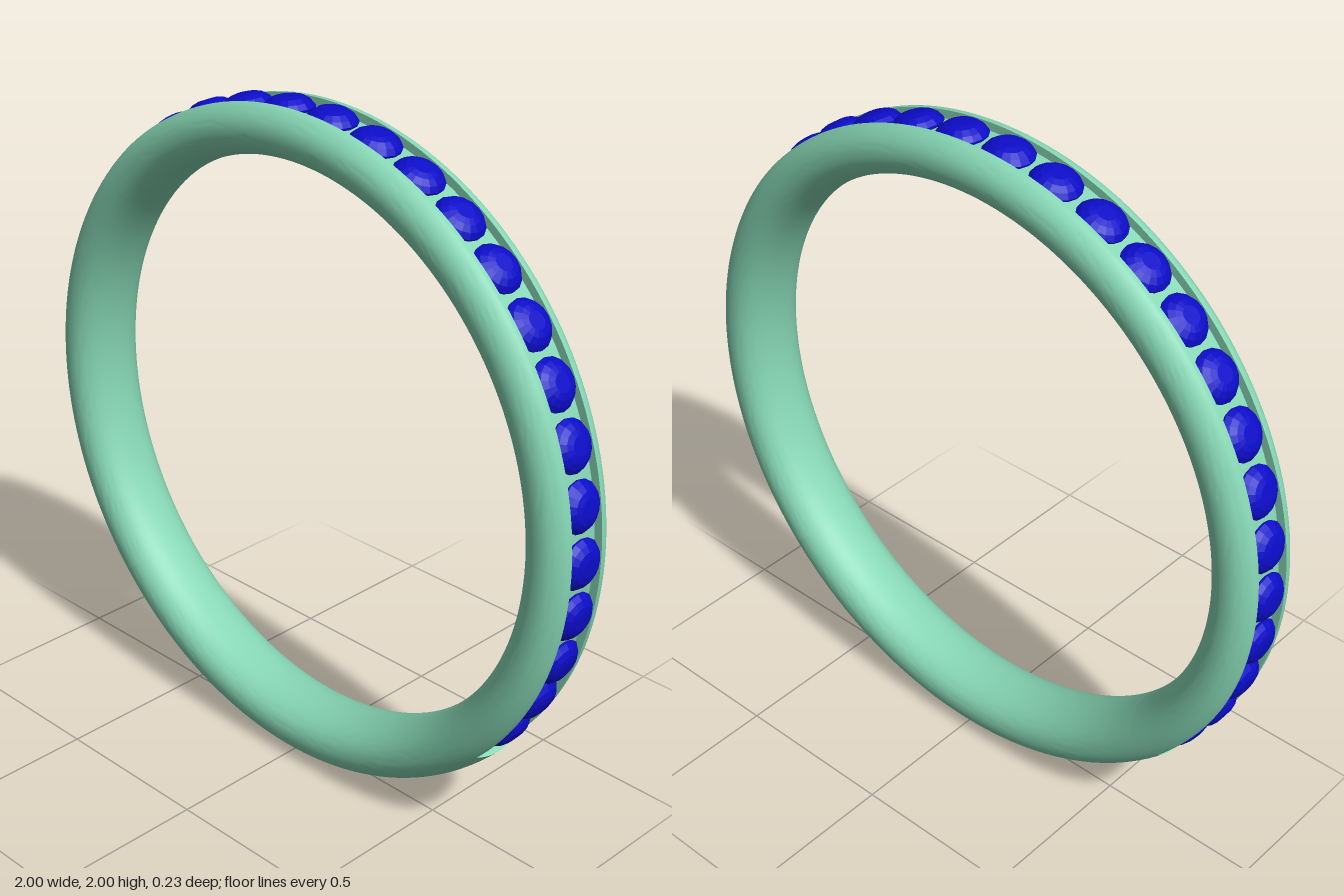
import * as THREE from 'three';
import { toCreasedNormals } from 'three/addons/utils/BufferGeometryUtils.js';

const CENTER_Y = 1.002, MID = 0.9185, HALF_R = 0.0835, HALF_W = 0.117;
const CHANNEL = 0.06, FLOOR = 0.962, RAIL_TOP = 0.986;
const END = THREE.MathUtils.degToRad(47);   // channel end, measured from the bottom
const GEMS_PER_SIDE = 14, STEP = 2 * Math.PI / 38;

// Rounded oval cross-section: x = distance from the ring axis, y = across the band
function bandSection(n = 64) {
  const pow = (v) => Math.sign(v) * Math.abs(v) ** (2 / 2.2);
  const pts = [];
  for (let i = 0; i <= n; i++) {
    const t = 2 * Math.PI * (i % n) / n;
    pts.push(new THREE.Vector2(MID + HALF_R * pow(Math.cos(t)), HALF_W * pow(Math.sin(t))));
  }
  return pts;
}

// Same section with a square channel cut in the outer face
function channelSection() {
  const rails = bandSection()
    .filter((p) => p.x < MID || Math.abs(p.y) > CHANNEL)
    .map((p) => new THREE.Vector2(Math.min(p.x, RAIL_TOP), p.y));
  return [
    new THREE.Vector2(FLOOR, -CHANNEL), new THREE.Vector2(FLOOR, CHANNEL),
    new THREE.Vector2(RAIL_TOP, CHANNEL), ...rails,
    new THREE.Vector2(RAIL_TOP, -CHANNEL), new THREE.Vector2(FLOOR, -CHANNEL),
  ];
}

// Sweep a section around the z axis; angle 0 is the bottom of the ring
function sweep(section, segments, start, length) {
  const g = new THREE.LatheGeometry(section, segments, start, length).rotateX(Math.PI / 2);
  return toCreasedNormals(g, 0.6);
}

export function createModel() {
  const model = new THREE.Group();
  model.name = 'ring';
  const ring = new THREE.Group();
  ring.position.y = CENTER_Y;
  model.add(ring);

  const metal = new THREE.MeshStandardMaterial({ color: 0x86d6b4 });
  const metalThin = new THREE.MeshStandardMaterial({ color: 0x86d6b4, side: THREE.DoubleSide });
  const blue = new THREE.MeshStandardMaterial({ color: 0x0c0cc8, flatShading: true });

  const add = (name, geometry, material) => {
    const mesh = new THREE.Mesh(geometry, material);
    mesh.name = name;
    ring.add(mesh);
    return mesh;
  };

  // Band: plain lower part and channelled upper part
  add('plainBand', sweep(bandSection(), 48, -END, 2 * END), metal);
  add('channelBand', sweep(channelSection(), 132, END, 2 * (Math.PI - END)), metal);

  // End walls closing the channel
  const wall = new THREE.ShapeGeometry(new THREE.Shape(bandSection().slice(0, -1)));
  for (const side of [-1, 1]) {
    const g = wall.clone().rotateX(Math.PI / 2).rotateZ(side * END - Math.PI / 2);
    add('channelEndWall', g, metalThin);
  }

  // Round cut stone: pavilion point, girdle, crown, table
  const stone = new THREE.LatheGeometry([
    [0, 0.9], [0.071, 0.962], [0.072, 0.968], [0.061, 0.982], [0.045, 0.993], [0.026, 0.998], [0, 0.998],
  ].map(([x, y]) => new THREE.Vector2(x, y)), 16);

  // Stones mirrored about the top of the ring
  for (const side of [-1, 1]) {
    for (let i = 0; i < GEMS_PER_SIDE; i++) {
      add('stone', stone, blue).rotation.z = side * (i + 0.5) * STEP;
    }
  }
  return model;
}
